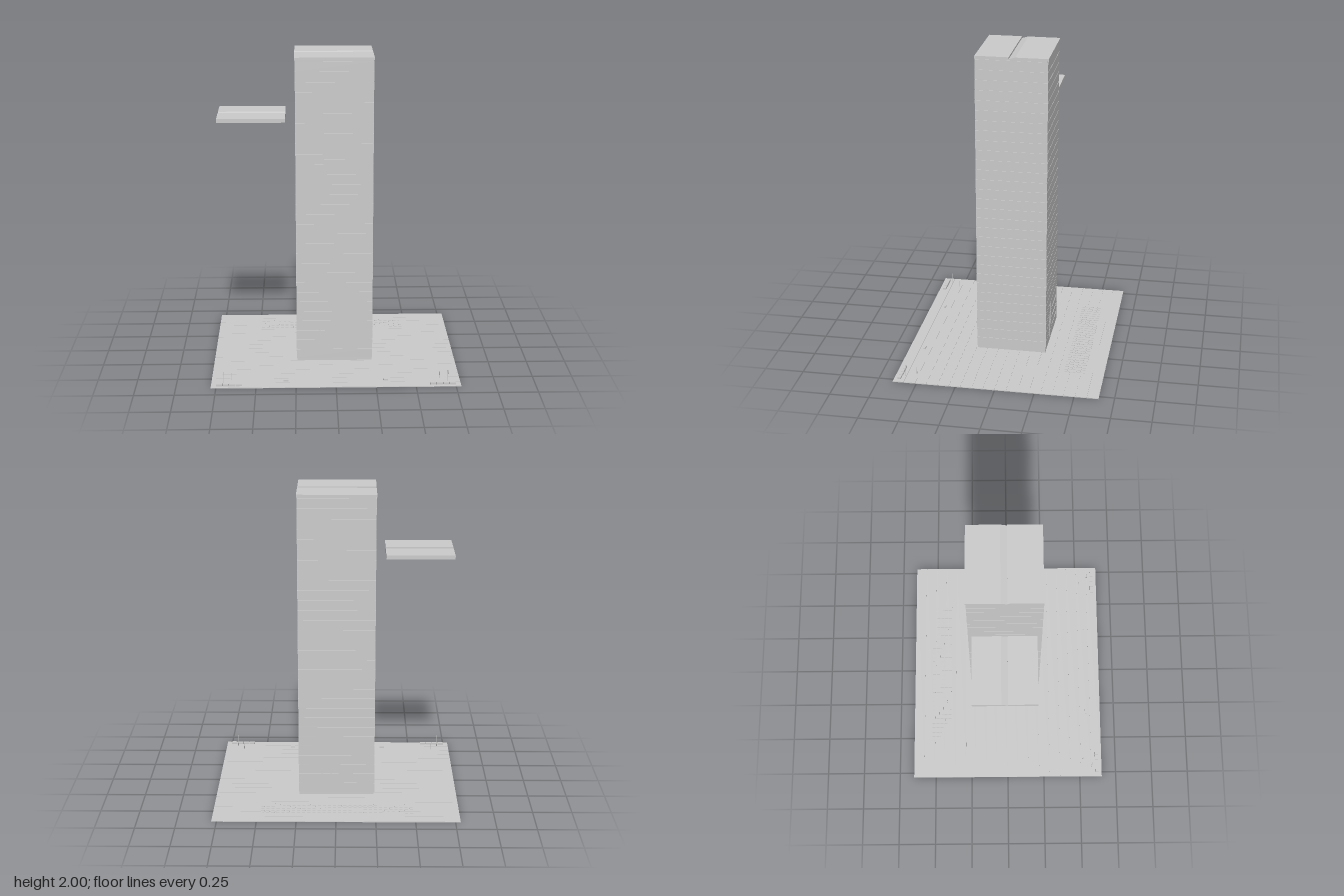
import * as THREE from 'three';

export function createModel() {
  const model = new THREE.Group();
  const grey = new THREE.MeshStandardMaterial({ color: 0xcccccc });
  grey.name = 'pale grey';

  // Box given by its limits on each axis
  function block(parent, name, x0, x1, y0, y1, z0, z1) {
    const mesh = new THREE.Mesh(new THREE.BoxGeometry(x1 - x0, y1 - y0, z1 - z0), grey);
    mesh.position.set((x0 + x1) / 2, (y0 + y1) / 2, (z0 + z1) / 2);
    mesh.name = name;
    parent.add(mesh);
    return mesh;
  }
  function group(name) {
    const g = new THREE.Group();
    g.name = name;
    model.add(g);
    return g;
  }

  // Plaza: a thin base under rows of paving
  const plaza = group('plaza');
  block(plaza, 'plazaBase', -0.782, 0.782, 0, 0.003, -0.653, 0.653);
  const rows = 18, pitch = 1.306 / rows;
  for (let i = 0; i < rows; i++) {
    const z = -0.653 + i * pitch;
    block(plaza, 'pavingRow', -0.782, 0.782, 0.003, 0.005, z + 0.001, z + pitch - 0.001);
  }

  // Tower: recessed core with floor bands separated by thin grooves
  const tower = group('tower');
  const X0 = -0.247, X1 = 0.245, Z0 = -0.243, Z1 = 0.213;
  block(tower, 'core', X0 + 0.004, X1 - 0.004, 0.004, 1.985, Z0 + 0.004, Z1 - 0.004);
  const floors = 30, storey = 0.0653, base = 0.02;
  for (let i = 0; i < floors; i++) {
    const y = base + i * storey;
    block(tower, 'floorBand', X0, X1, y + 0.002, y + storey - 0.002, Z0, Z1);
  }

  // Lower storeys: frames and projecting ledges at opposite corners
  const entrance = group('entranceScreens');
  for (const [side, z] of [[1, Z1], [-1, Z0]]) {
    const face = (name, a, b, y0, y1, t) => block(entrance, name,
      Math.min(a * side, b * side), Math.max(a * side, b * side), y0, y1,
      Math.min(z, z + side * t), Math.max(z, z + side * t));
    for (const y of [0.075, 0.14, 0.206]) face('ledge', 0.05, 0.243, y, y + 0.012, 0.003);
    for (const x of [-0.095, -0.035]) face('mullion', x - 0.003, x + 0.003, 0.05, 0.265, 0.002);
  }

  // Shallow slab with a one-sided channel across its top
  function channelSlab(name, x0, x1, y0, y1, z0, z1) {
    const step = 0.012;
    const shape = new THREE.Shape([
      [-z0, y0], [-z0, y1], [0.04, y1], [0, y1 - step],
      [0, y1], [-z1, y1], [-z1, y0],
    ].map(([u, v]) => new THREE.Vector2(u, v)));
    const geometry = new THREE.ExtrudeGeometry(shape, { depth: x1 - x0, bevelEnabled: false });
    geometry.rotateY(Math.PI / 2);
    geometry.translate(x0, 0, 0);
    const mesh = new THREE.Mesh(geometry, grey);
    mesh.name = name;
    model.add(mesh);
  }
  channelSlab('roof', -0.25, 0.248, 1.984, 2.0, -0.247, 0.213);
  channelSlab('detachedRoof', -0.74, -0.31, 1.585, 1.61, -0.215, 0.18);

  // Blank plate on the front
  block(model, 'frontPlate', -0.07, 0.065, 1.325, 1.357, Z1, 0.222);

  // Slatted rack area behind the tower
  const racks = group('rearRacks');
  for (let i = 0; i < 30; i++) {
    const x = -0.49 + i * 0.0327;
    for (let j = 0; j < 5; j++) {
      const z = -0.53 + j * 0.028;
      block(racks, 'rackUnit', x, x + 0.02, 0.005, 0.008, z, z + 0.023);
    }
  }

  // Front planters, poles and benches on both sides
  const furniture = group('plazaFurniture');
  for (const s of [-1, 1]) {
    for (let i = 0; i < 4; i++) {
      const x = s * 0.669 - 0.08 + i * 0.041;
      block(furniture, 'planter', x, x + 0.038, 0.005, 0.018, 0.608, 0.63);
    }
    for (const [x, z, h] of [[0.703, 0.586, 0.083], [0.656, 0.525, 0.05]]) {
      const pole = new THREE.Mesh(new THREE.CylinderGeometry(0.002, 0.002, h - 0.004, 8), grey);
      pole.position.set(s * x, (h + 0.004) / 2, z);
      pole.name = 'pole';
      furniture.add(pole);
    }
    block(furniture, 'bench', s * 0.314 - 0.015, s * 0.314 + 0.015, 0.005, 0.015, 0.547, 0.558);
  }
  return model;
}
